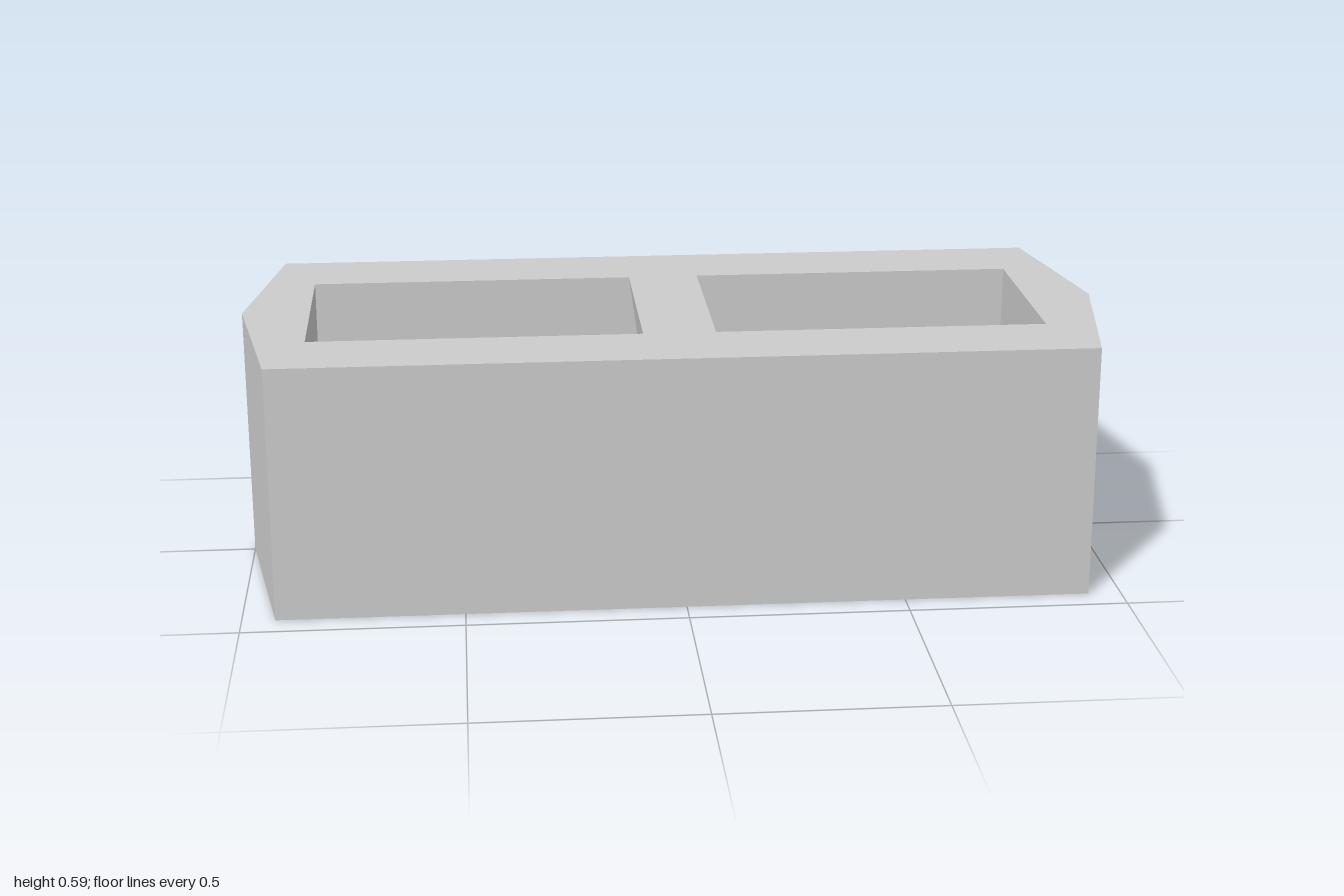
import * as THREE from 'three';

const HEIGHT = 0.588;
const FLARE_Y = 0.33; // height where the middle web begins to thicken

export function createModel() {
  const group = new THREE.Group();
  group.name = 'hollowBlock';

  // Plan outline: long body with shallow pointed ends
  const plan = new THREE.Shape([
    [-1, 0], [-0.925, -0.437], [0.925, -0.437],
    [1, 0], [0.925, 0.437], [-0.925, 0.437],
  ].map(([x, y]) => new THREE.Vector2(x, y)));

  // Two mirrored rectangular cores
  for (const s of [-1, 1]) {
    plan.holes.push(new THREE.Path([
      [0.083, -0.237], [0.083, 0.237], [0.843, 0.237], [0.843, -0.237],
    ].map(([x, y]) => new THREE.Vector2(s * x, y))));
  }

  const geometry = new THREE.ExtrudeGeometry(plan, { depth: HEIGHT, steps: 2, bevelEnabled: false });
  geometry.rotateX(-Math.PI / 2);

  // Draft the long faces, and thin the web below its flared top
  const p = geometry.attributes.position;
  for (let i = 0; i < p.count; i++) {
    let x = p.getX(i), y = p.getY(i), z = p.getZ(i);
    if (y > 0.1 && y < 0.5) y = FLARE_Y;
    if (Math.abs(x) < 0.1 && y < 0.5) x = Math.sign(x) * 0.048;
    if (Math.abs(z) > 0.4) z -= Math.sign(z) * 0.005 * y / HEIGHT;
    p.setXYZ(i, x, y, z);
  }
  geometry.computeVertexNormals();

  const block = new THREE.Mesh(
    geometry,
    new THREE.MeshStandardMaterial({ color: 0xcccccc, flatShading: true }),
  );
  block.name = 'blockBody';
  group.add(block);
  return group;
}
